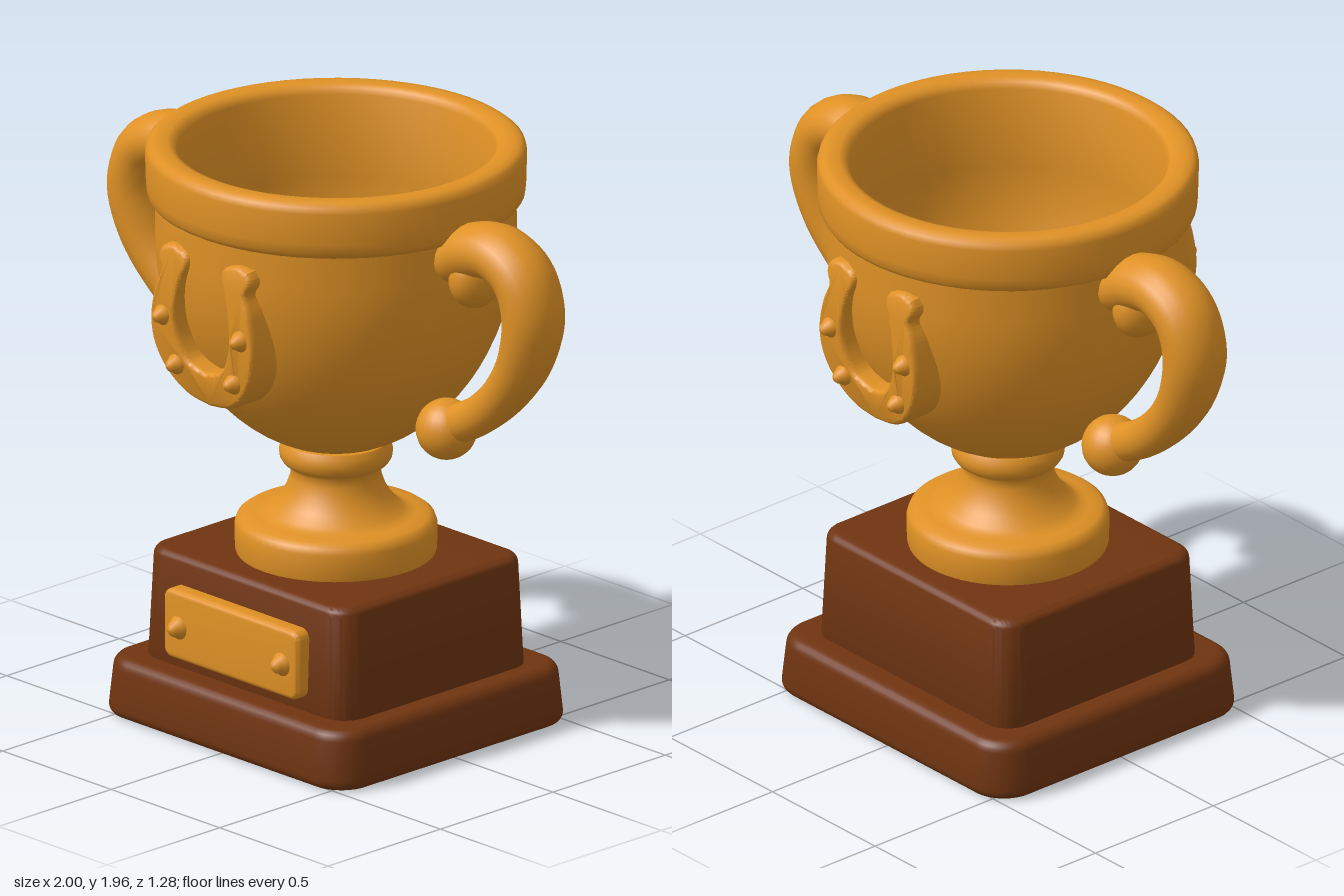
import * as THREE from 'three';
import { toCreasedNormals } from 'three/addons/utils/BufferGeometryUtils.js';

const gold = new THREE.MeshStandardMaterial({ color: 0xdf9125 });
gold.name = 'gold';
const wood = new THREE.MeshStandardMaterial({ color: 0x6f3410 });
wood.name = 'brown wood';

function add(parent, name, geometry, material, x = 0, y = 0, z = 0) {
  const mesh = new THREE.Mesh(geometry, material);
  mesh.name = name;
  mesh.position.set(x, y, z);
  parent.add(mesh);
  return mesh;
}

// Rounded rectangle extruded along +z with a soft bevel; w, h are half sizes
function roundedSlab(w, h, depth, radius, bevel) {
  const a = w - bevel, b = h - bevel, r = radius - bevel;
  const s = new THREE.Shape();
  s.absarc(a - r, b - r, r, 0, Math.PI / 2);
  s.absarc(r - a, b - r, r, Math.PI / 2, Math.PI);
  s.absarc(r - a, r - b, r, Math.PI, Math.PI * 1.5);
  s.absarc(a - r, r - b, r, Math.PI * 1.5, Math.PI * 2);
  const g = new THREE.ExtrudeGeometry(s, {
    depth: depth - 2 * bevel, bevelSize: bevel, bevelThickness: bevel, bevelSegments: 5, curveSegments: 8,
  });
  return g.translate(0, 0, bevel);
}

// Upright plinth block, narrowing towards its top
function plinthBlock(w, d, y0, y1, radius, bevel, taper) {
  const g = roundedSlab(w, d, y1 - y0, radius, bevel).rotateX(-Math.PI / 2);
  const p = g.attributes.position;
  for (let i = 0; i < p.count; i++) {
    const k = 1 - taper * p.getY(i) / (y1 - y0);
    p.setXYZ(i, p.getX(i) * k, p.getY(i) + y0, p.getZ(i) * k);
  }
  return toCreasedNormals(g, 0.7);
}

function lathe(points) {
  const g = new THREE.LatheGeometry(points.map(([x, y]) => new THREE.Vector2(x, y)), 64);
  return toCreasedNormals(g, 0.75);
}

// Outer bowl radius at a height
const bowlRadius = (y) => 0.58 * Math.sqrt(Math.max(0, 1 - Math.min(0, (y - 1.65) / 0.73) ** 2));

// Small domed rivet pointing to +z
function rivet(r, height) {
  const pts = [[r * 1.4, -0.02], [r * 1.35, 0], [r, height * 0.3], [r * 0.8, height * 0.65], [r * 0.45, height * 0.92], [0, height]];
  return new THREE.LatheGeometry(pts.map(([x, y]) => new THREE.Vector2(x, y)), 16).rotateX(Math.PI / 2);
}

// Bowl, rolled rim and hollow inside
function bowlGeometry() {
  const pts = [];
  for (let i = 0; i <= 20; i++) {
    const t = (i / 20) * Math.PI / 2;
    pts.push([0.58 * Math.sin(t), 1.65 - 0.73 * Math.cos(t)]);
  }
  pts.push([0.578, 1.765], [0.596, 1.775], [0.606, 1.79], [0.609, 1.82], [0.612, 1.925], [0.607, 1.945],
    [0.592, 1.957], [0.57, 1.96], [0.54, 1.958], [0.52, 1.95], [0.51, 1.93]);
  for (let i = 20; i >= 0; i--) {
    const t = (i / 20) * Math.PI / 2;
    pts.push([0.51 * Math.sin(t), 1.65 - 0.63 * Math.cos(t)]);
  }
  return lathe(pts);
}

// Handle: a tube that is thick at the top and slim near the lower ball
function handleGeometry() {
  const path = new THREE.CatmullRomCurve3([
    [0.56, 1.71], [0.65, 1.755], [0.76, 1.77], [0.865, 1.715], [0.91, 1.59], [0.87, 1.43],
    [0.78, 1.3], [0.66, 1.195], [0.52, 1.12],
  ].map(([x, y]) => new THREE.Vector3(x, y, 0)));
  const rings = 48, sides = 20;
  const g = new THREE.TubeGeometry(path, rings, 1, sides);
  const p = g.attributes.position;
  for (let i = 0; i <= rings; i++) {
    const c = path.getPointAt(i / rings);
    const k = THREE.MathUtils.smoothstep(i / rings, 0.4, 0.9);
    const r = 0.091 - 0.026 * k, rz = 0.112 - 0.05 * k;
    for (let j = 0; j <= sides; j++) {
      const n = i * (sides + 1) + j;
      p.setXYZ(n, c.x + (p.getX(n) - c.x) * r, c.y + (p.getY(n) - c.y) * r, p.getZ(n) * rz);
    }
  }
  return toCreasedNormals(g, 1.2);
}

// Raised horseshoe whose back follows the bowl
const shoeFront = (y) => 0.605 - 0.45 * (y - 1.5) ** 2;
function horseshoeGeometry() {
  const half = [[0, 1.205], [0.09, 1.222], [0.165, 1.28], [0.21, 1.36], [0.222, 1.45], [0.205, 1.55], [0.18, 1.62],
    [0.195, 1.665], [0.185, 1.69], [0.145, 1.698], [0.1, 1.685], [0.092, 1.66], [0.112, 1.61],
    [0.13, 1.54], [0.137, 1.46], [0.12, 1.385], [0.08, 1.325], [0, 1.297]];
  const v = half.map(([x, y]) => new THREE.Vector2(x, y));
  const mirror = (list) => list.map((q) => new THREE.Vector2(-q.x, q.y));
  const outer = v.slice(0, 9), inner = v.slice(9);
  const s = new THREE.Shape();
  s.moveTo(0, 1.205);
  s.splineThru(outer.slice(1));
  s.splineThru(inner);
  s.splineThru(mirror(inner.slice(0, -1)).reverse());
  s.splineThru(mirror(outer).reverse());
  const g = new THREE.ExtrudeGeometry(s, {
    depth: 0.1, bevelSize: 0.014, bevelThickness: 0.025, bevelSegments: 4, curveSegments: 24,
  });
  const p = g.attributes.position;
  for (let i = 0; i < p.count; i++) {
    const x = p.getX(i), y = p.getY(i), z = p.getZ(i);
    const back = Math.sqrt(Math.max(0, bowlRadius(y) ** 2 - x * x)) - 0.03;
    p.setZ(i, z > 0.05 ? shoeFront(y) + z - 0.125 : back);
  }
  return toCreasedNormals(g, 0.7);
}

export function createModel() {
  const model = new THREE.Group();
  model.name = 'trophy';

  // Wooden plinth
  add(model, 'plinthFoot', plinthBlock(0.575, 0.535, 0, 0.2, 0.13, 0.035, 0.03), wood);
  add(model, 'plinthBlock', plinthBlock(0.478, 0.428, 0.16, 0.57, 0.09, 0.03, 0.035), wood);

  // Nameplate
  const plate = new THREE.Group();
  plate.name = 'nameplate';
  plate.position.set(0, 0.36, 0.39);
  add(plate, 'plate', toCreasedNormals(roundedSlab(0.31, 0.117, 0.083, 0.035, 0.018), 0.7), gold);
  for (const s of [-1, 1]) add(plate, 'plateRivet', rivet(0.029, 0.04), gold, s * 0.238, -0.005, 0.083);
  model.add(plate);

  // Turned stem
  add(model, 'stem', lathe([
    [0, 0.56], [0.318, 0.56], [0.324, 0.58], [0.325, 0.66], [0.318, 0.68], [0.3, 0.693], [0.26, 0.697],
    [0.235, 0.702], [0.215, 0.715], [0.185, 0.745], [0.16, 0.785], [0.146, 0.825], [0.144, 0.85],
    [0.152, 0.862], [0.17, 0.872], [0.18, 0.888], [0.183, 0.91], [0.178, 0.93], [0.17, 0.945], [0, 0.96],
  ]), gold);

  // Cup
  add(model, 'bowl', bowlGeometry(), gold);

  // Handles with a curled top end and a ball at the lower end
  for (const s of [1, -1]) {
    const handle = new THREE.Group();
    handle.name = s > 0 ? 'leftHandle' : 'rightHandle';
    add(handle, 'handleArm', handleGeometry(), gold);
    add(handle, 'handleCurl', new THREE.SphereGeometry(1, 24, 16), gold, 0.645, 1.665, 0).scale.set(0.075, 0.105, 0.1);
    add(handle, 'handleBall', new THREE.SphereGeometry(0.1, 24, 16), gold, 0.51, 1.11, 0);
    if (s < 0) handle.rotation.y = Math.PI;
    model.add(handle);
  }

  // Horseshoe on the front and back of the cup
  const shoe = horseshoeGeometry();
  for (const side of [0, 1]) {
    const emblem = new THREE.Group();
    emblem.name = side ? 'backHorseshoe' : 'frontHorseshoe';
    add(emblem, 'horseshoe', shoe, gold);
    for (const s of [-1, 1]) {
      for (const [x, y] of [[0.178, 1.47], [0.132, 1.31]]) {
        add(emblem, 'horseshoeNail', rivet(0.025, 0.035), gold, s * x, y, shoeFront(y));
      }
    }
    emblem.rotation.y = side * Math.PI;
    model.add(emblem);
  }
  return model;
}
